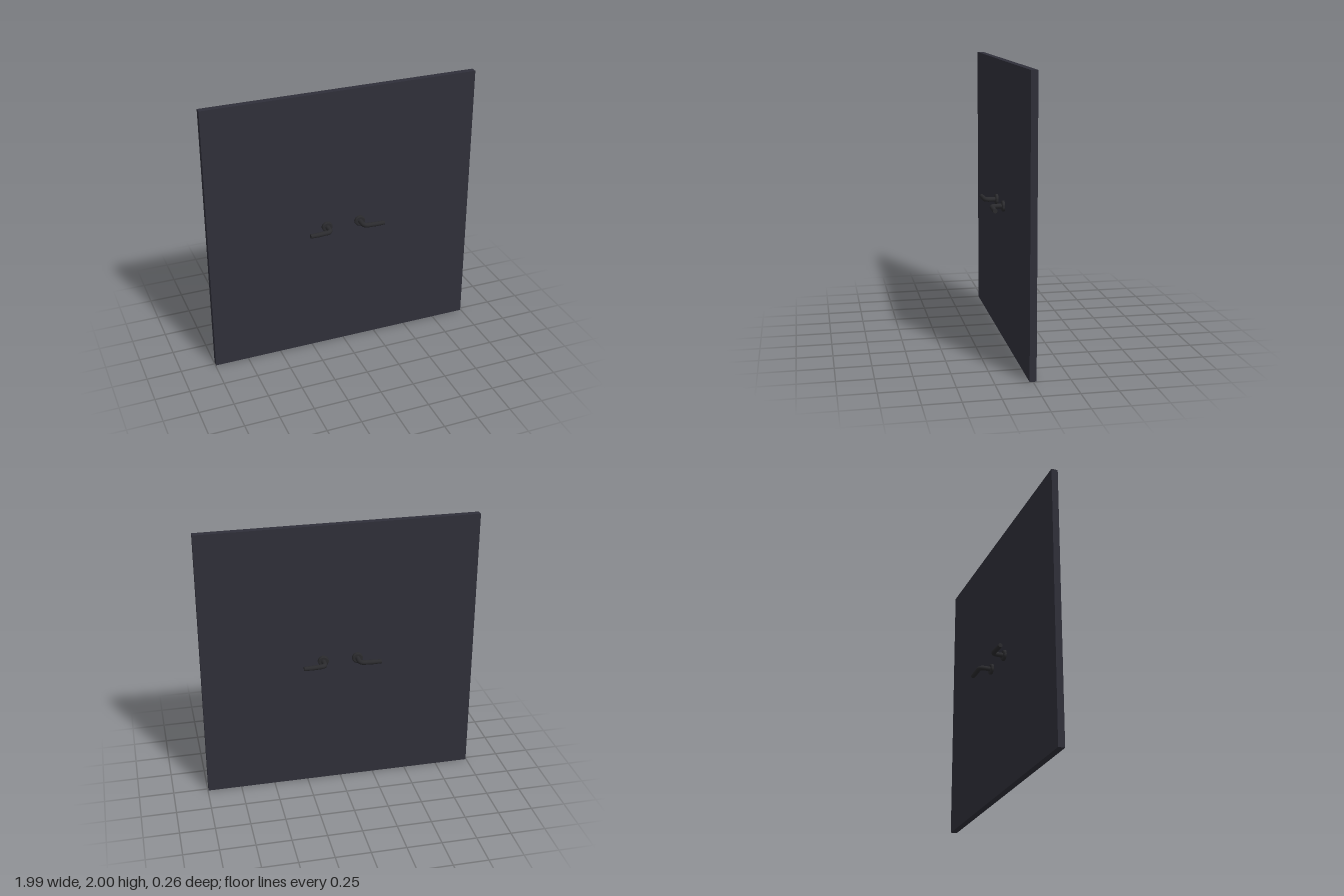
import * as THREE from 'three';
import { toCreasedNormals } from 'three/addons/utils/BufferGeometryUtils.js';

const panelMaterial = new THREE.MeshStandardMaterial({ name: 'dark slate panel', color: 0x2f2f39 });
const metalMaterial = new THREE.MeshStandardMaterial({ name: 'black metal', color: 0x2a2a2d });

const HANDLE_X = 0.125, HANDLE_Y = 0.985;

function addMesh(parent, name, geometry, material) {
  const mesh = new THREE.Mesh(geometry, material);
  mesh.name = name;
  parent.add(mesh);
  return mesh;
}

// Lever that leaves the door along z, bends outward and ends in a slim tip
function createLever(sx, sz) {
  const lever = new THREE.Group();
  lever.name = 'leverHandle';
  const p = (x, y, z) => new THREE.Vector3(x * sx, y, z * sz);
  const path = new THREE.CurvePath();
  path.add(new THREE.LineCurve3(p(0, 0, 0.02), p(0, 0, 0.08)));
  path.add(new THREE.QuadraticBezierCurve3(p(0, 0, 0.08), p(0, 0, 0.115), p(0.035, -0.001, 0.115)));
  path.add(new THREE.LineCurve3(p(0.035, -0.001, 0.115), p(0.105, -0.004, 0.115)));
  addMesh(lever, 'leverBar', new THREE.TubeGeometry(path, 40, 0.017, 16), metalMaterial);

  const tip = addMesh(lever, 'leverTip', new THREE.CylinderGeometry(0.0155, 0.0165, 0.055, 16), metalMaterial);
  tip.rotation.z = -sx * Math.PI / 2;
  tip.position.copy(p(0.1275, -0.004, 0.115));
  return lever;
}

export function createModel() {
  const model = new THREE.Group();
  model.name = 'doublePanelDoor';

  // Plain slab
  addMesh(model, 'doorPanel', new THREE.BoxGeometry(1.99, 2, 0.046), panelMaterial)
    .position.set(0, 1, 0);

  // Round rose running through the slab, bevelled on both faces
  const profile = [[0, -0.043], [0.032, -0.043], [0.039, -0.038], [0.039, 0.038], [0.032, 0.043], [0, 0.043]]
    .map(([r, y]) => new THREE.Vector2(r, y));
  const roseGeometry = toCreasedNormals(new THREE.LatheGeometry(profile, 32), 0.5);
  roseGeometry.rotateX(Math.PI / 2);

  for (const sx of [-1, 1]) {
    const handleSet = new THREE.Group();
    handleSet.name = sx > 0 ? 'leftHandleSet' : 'rightHandleSet';
    handleSet.position.set(sx * HANDLE_X, HANDLE_Y, 0);
    addMesh(handleSet, 'rose', roseGeometry, metalMaterial);
    for (const sz of [-1, 1]) handleSet.add(createLever(sx, sz));
    model.add(handleSet);
  }
  return model;
}
